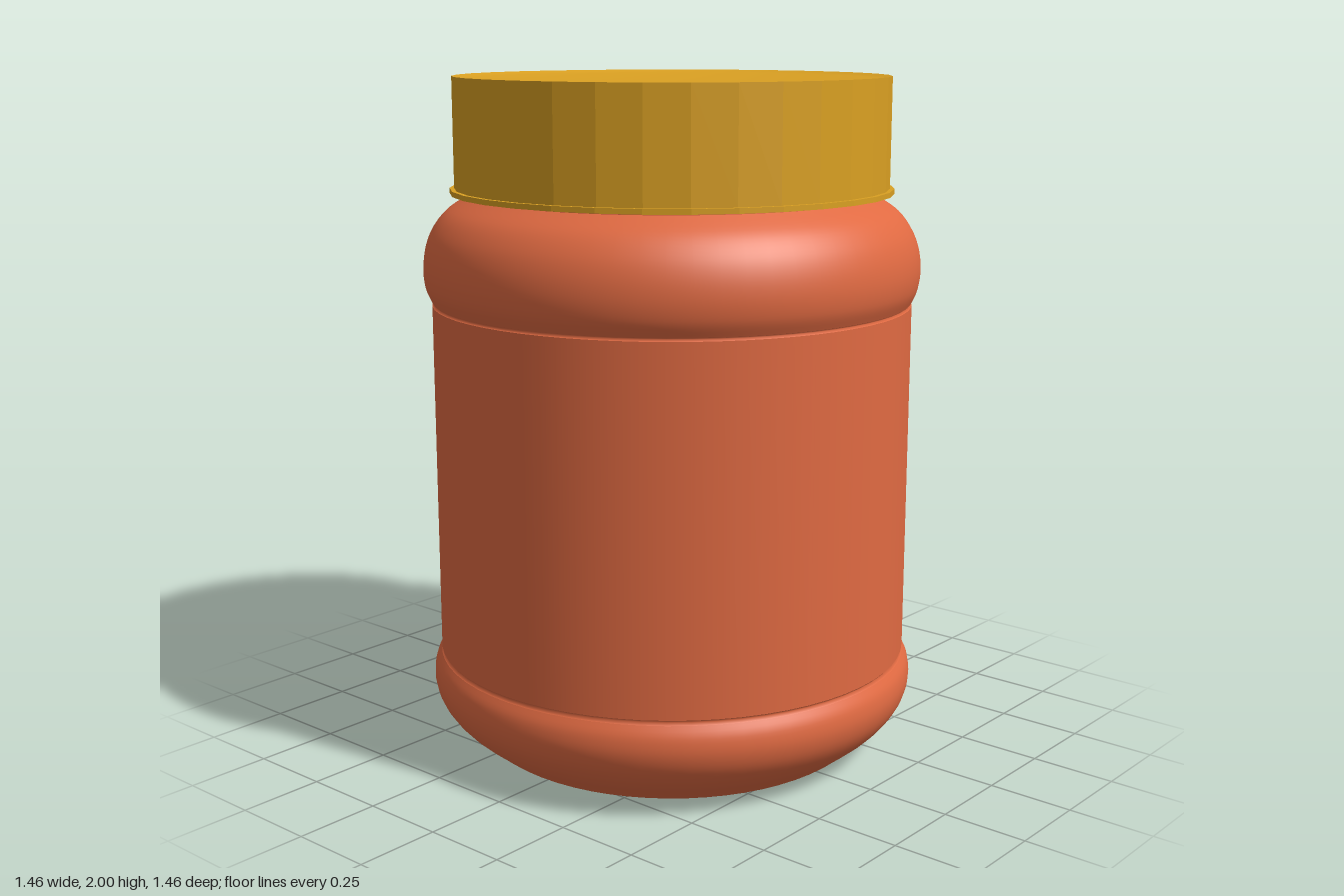
import * as THREE from 'three';

const red = new THREE.MeshStandardMaterial({ color: 0xe06a42, side: THREE.DoubleSide });
const gold = new THREE.MeshStandardMaterial({ color: 0xdaa022, side: THREE.DoubleSide });
const goldFacet = new THREE.MeshStandardMaterial({ color: 0xdaa022, side: THREE.DoubleSide, flatShading: true });

// Revolve a profile of [radius, height] pairs, listed from bottom to top
function revolve(name, profile, material, segments) {
  const points = profile.map(([r, y]) => new THREE.Vector2(r, y));
  const mesh = new THREE.Mesh(new THREE.LatheGeometry(points, segments), material);
  mesh.name = name;
  return mesh;
}

// Smooth a few profile points into a rounded curve
function rounded(profile, steps) {
  const curve = new THREE.SplineCurve(profile.map(([r, y]) => new THREE.Vector2(r, y)));
  return curve.getPoints(steps).map((p) => [p.x, p.y]);
}

export function createModel() {
  const model = new THREE.Group();

  // Jar: separate bands keep the edges of the label panel sharp
  const jar = new THREE.Group();
  jar.name = 'jar';
  jar.add(
    revolve('jarBase', [[0, 0.025], [0.06, 0.02], [0.12, 0.022], [0.4, 0.015], [0.48, 0.002], [0.53, 0]], red, 64),
    revolve('lowerBulge', rounded([
      [0.53, 0], [0.57, 0.01], [0.61, 0.04], [0.67, 0.09], [0.712, 0.145],
      [0.729, 0.2], [0.725, 0.25], [0.708, 0.285],
    ], 28), red, 64),
    revolve('lowerGroove', [[0.708, 0.285], [0.7, 0.292], [0.707, 0.3]], red, 64),
    revolve('labelPanel', [[0.707, 0.3], [0.707, 1.343]], red, 64),
    revolve('upperGroove', [[0.707, 1.343], [0.7, 1.348], [0.706, 1.353]], red, 64),
    revolve('shoulder', rounded([
      [0.706, 1.353], [0.724, 1.395], [0.73, 1.45], [0.722, 1.51],
      [0.7, 1.565], [0.66, 1.615], [0.595, 1.658],
    ], 28), red, 64),
    revolve('neck', [[0.595, 1.658], [0.595, 1.72]], red, 64),
  );

  // Lid: faceted wall with a small flange and a shallow dished top
  const lid = new THREE.Group();
  lid.name = 'lid';
  lid.add(
    revolve('lidFlange', [[0.58, 1.665], [0.648, 1.665], [0.648, 1.68], [0.635, 1.68]], goldFacet, 32),
    revolve('lidWall', [[0.635, 1.68], [0.635, 2]], goldFacet, 32),
    revolve('lidRim', [[0.635, 2], [0.622, 1.997]], goldFacet, 32),
    revolve('lidTop', [[0.622, 1.997], [0.6, 1.991], [0.45, 1.978], [0.3, 1.97], [0.15, 1.965], [0, 1.964]], gold, 32),
  );

  model.add(jar, lid);
  return model;
}
